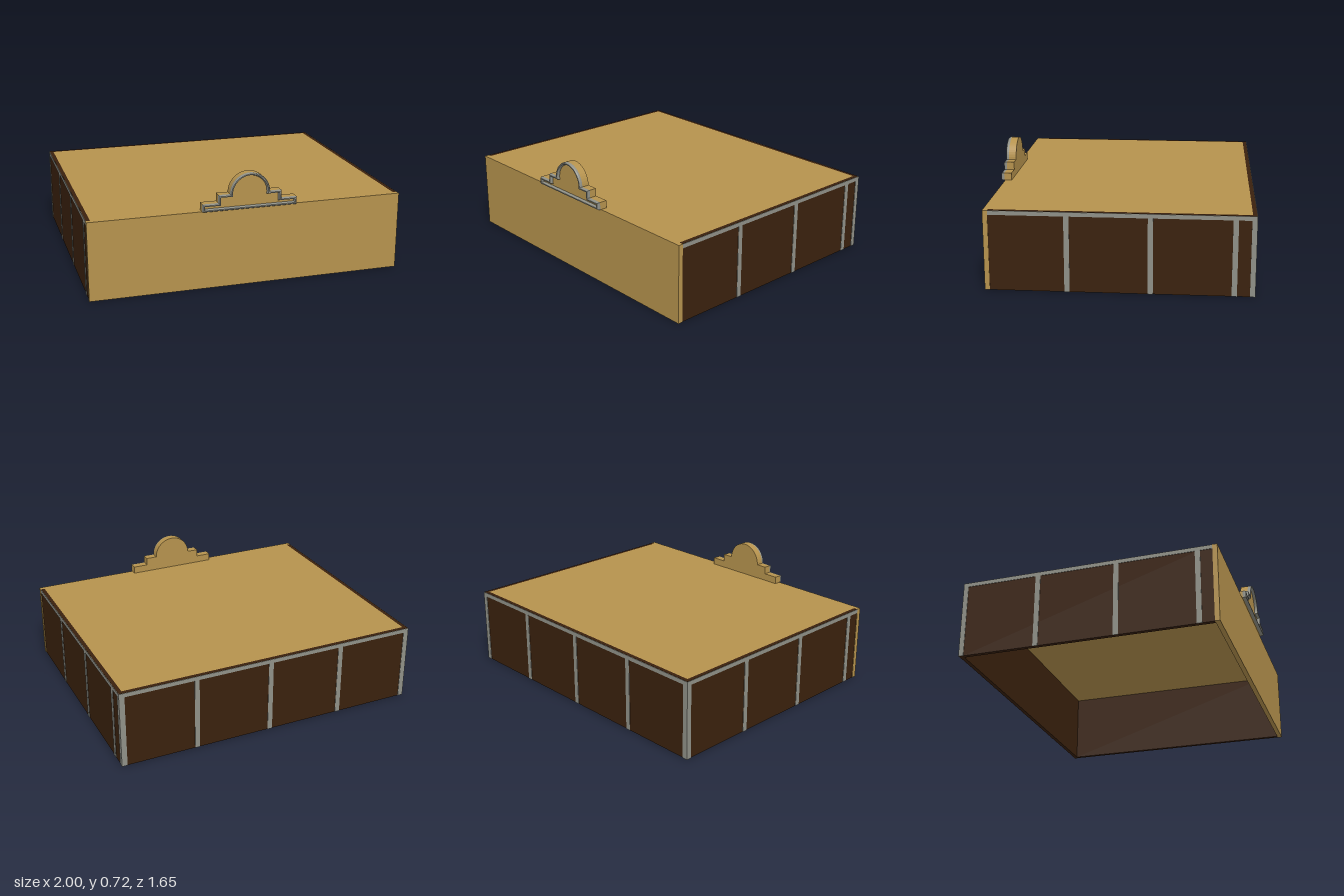
import * as THREE from 'three';

const mat = (name, color, side = THREE.FrontSide) => {
  const m = new THREE.MeshStandardMaterial({ color, side });
  m.name = name;
  return m;
};

export function createModel() {
  const tan = mat('tan panel', 0xb5924d);
  const brown = mat('dark brown wall', 0x3a210d);
  const grey = mat('grey trim', 0x8f9087, THREE.DoubleSide);
  const group = new THREE.Group();

  // Box given by its minimum and maximum corners
  function box(name, material, [x0, y0, z0], [x1, y1, z1]) {
    const mesh = new THREE.Mesh(new THREE.BoxGeometry(x1 - x0, y1 - y0, z1 - z0), material);
    mesh.position.set((x0 + x1) / 2, (y0 + y1) / 2, (z0 + z1) / 2);
    mesh.name = name;
    group.add(mesh);
  }

  // Open-bottomed shell: front panel, roof and three dark walls
  const P = 0.003; // how far the trim stands proud of the walls
  const X = 1 - P, BACK = -0.825 + P, H = 0.5;
  box('frontPanel', tan, [-1, 0, 0.77], [1, H, 0.8]);
  box('roof', tan, [-0.972, 0.47, -0.797], [0.972, H, 0.77]);
  box('backWall', brown, [-X, 0, BACK], [X, H, -0.797]);
  for (const s of [-1, 1]) {
    const a = s * 0.972, b = s * X;
    box('sideWall', brown, [Math.min(a, b), 0, -0.797], [Math.max(a, b), H, 0.77]);
  }

  // Grey trim: a rail along the top of each wall and upright strips
  const W = 0.016, TOP = H - 0.001, RAIL = 0.473;
  const uprights = { '1': [0.3, -0.2, -0.7, -0.809], '-1': [-0.809, -0.325, 0.178, 0.68] };
  for (const s of [-1, 1]) {
    const x0 = s > 0 ? X : -1, x1 = s > 0 ? 1 : -X;
    box('sideRail', grey, [x0, RAIL, -0.825], [x1, TOP, 0.77]);
    for (const z of uprights[s]) box('sideUpright', grey, [x0, 0, z - W], [x1, RAIL, z + W]);
  }
  box('backRail', grey, [-X, RAIL, -0.825], [X, TOP, BACK]);
  for (const x of [-0.981, -0.49, 0.005, 0.505, 0.981]) {
    box('backUpright', grey, [x - W, 0, -0.825], [x + W, RAIL, BACK]);
  }

  // Stepped, round-topped sign outline, inset by d
  function outline(d) {
    const y1 = 0.548 - d, y2 = 0.598 - d, r = 0.126 - d, start = -Math.asin(d / r);
    const pts = [[-0.3 + d, H + d], [0.3 - d, H + d], [0.3 - d, y1], [0.2 - d, y1], [0.2 - d, y2]];
    const n = 24;
    for (let i = 0; i <= n; i++) {
      const t = start + (Math.PI - 2 * start) * i / n;
      pts.push([r * Math.cos(t), 0.598 + r * Math.sin(t)]);
    }
    pts.push([-0.2 + d, y2], [-0.2 + d, y1], [-0.3 + d, y1]);
    return pts;
  }

  // Sign body
  const shape = new THREE.Shape(outline(0).map(([x, y]) => new THREE.Vector2(x, y)));
  const body = new THREE.Mesh(
    new THREE.ExtrudeGeometry(shape, { depth: 0.048, bevelEnabled: false }), tan);
  body.position.z = 0.757;
  body.name = 'signBody';
  group.add(body);

  // Bevelled moulding around the sign: pairs of inset and z
  const section = [[0, 0.805], [0, 0.816], [0.005, 0.825], [0.012, 0.825], [0.018, 0.806]];
  const pos = [];
  for (let k = 0; k < section.length - 1; k++) {
    const [da, za] = section[k], [db, zb] = section[k + 1];
    const A = outline(da), B = outline(db);
    A.forEach((p, i) => {
      const j = (i + 1) % A.length;
      const a = [...p, za], b = [...A[j], za], c = [...B[j], zb], e = [...B[i], zb];
      pos.push(...a, ...b, ...c, ...a, ...c, ...e);
    });
  }
  const geo = new THREE.BufferGeometry();
  geo.setAttribute('position', new THREE.Float32BufferAttribute(pos, 3));
  geo.computeVertexNormals();
  const moulding = new THREE.Mesh(geo, grey);
  moulding.name = 'signMoulding';
  group.add(moulding);

  return group;
}
